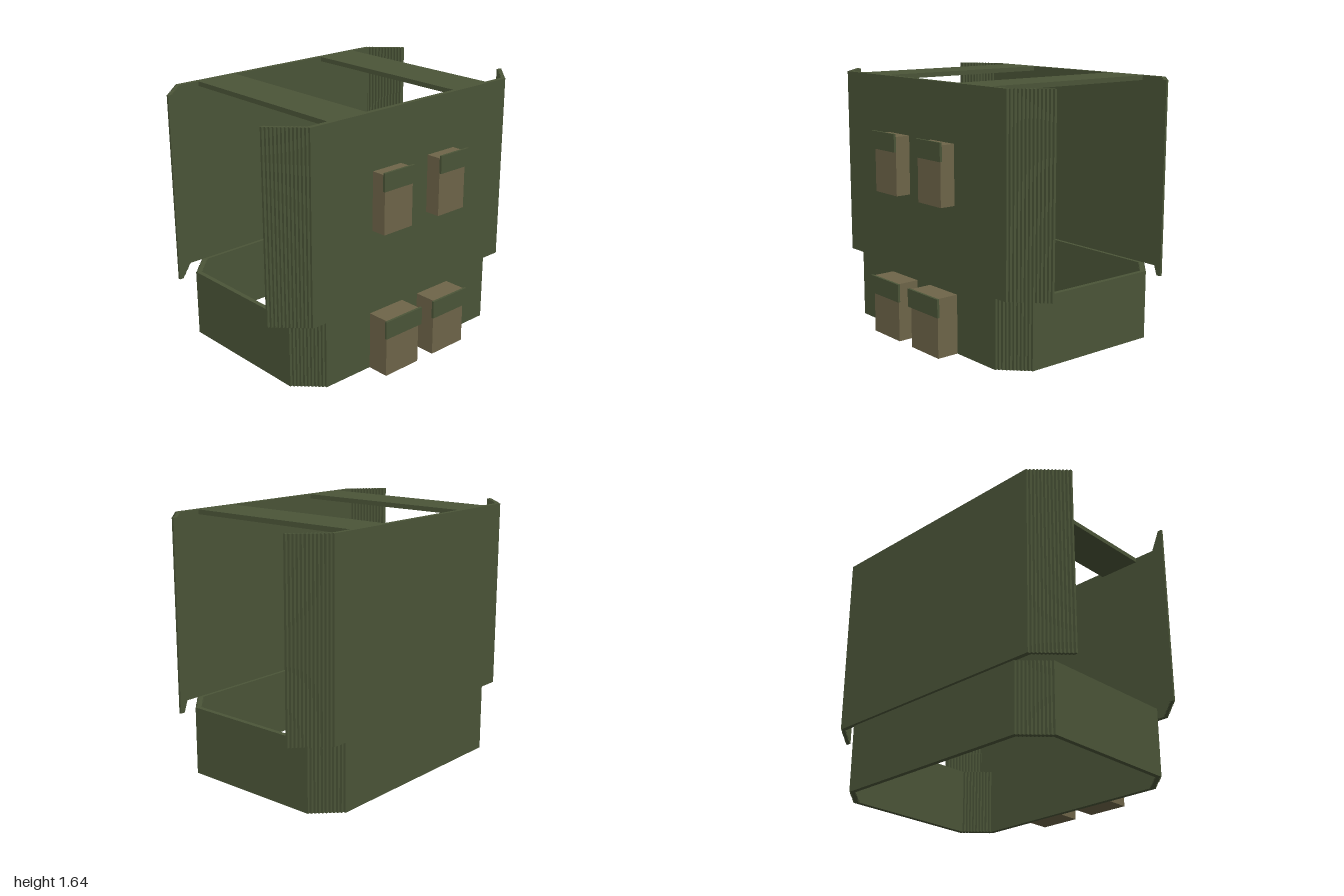
import * as THREE from 'three';

const GREEN = new THREE.MeshStandardMaterial({ color: 0x4b5538, flatShading: true });
const TAN = new THREE.MeshStandardMaterial({ color: 0x6e6549, flatShading: true });
const STEP = 0.0154; // size of one stair step
const MID = -0.0725; // z of the plane between front and back

// Box given by its minimum and maximum on each axis
function box(parent, name, material, [x0, x1], [y0, y1], [z0, z1]) {
  const mesh = new THREE.Mesh(new THREE.BoxGeometry(x1 - x0, y1 - y0, z1 - z0), material);
  mesh.position.set((x0 + x1) / 2, (y0 + y1) / 2, (z0 + z1) / 2);
  mesh.name = name;
  parent.add(mesh);
}

function group(parent, name) {
  const g = new THREE.Group();
  g.name = name;
  parent.add(g);
  return g;
}

// Ordered range mirrored through zero when s is -1
const flip = (a, b, s) => (s > 0 ? [a, b] : [-b, -a]);

export function createModel() {
  const vest = new THREE.Group();
  vest.name = 'vest';
  const upper = [0.44, 1.645];
  const lower = [0, 0.437];

  for (const sz of [1, -1]) {
    const side = sz > 0 ? 'front' : 'back';
    const z = (a, b) => flip(a, b, sz).map((v) => v + MID);

    // Chest or back plate and the belt panel below it
    box(vest, side + 'Plate', GREEN, [-0.8, 0.8], upper, z(0.6125, 0.6425));
    box(vest, side + 'BeltPanel', GREEN, [-0.685, 0.685], lower, z(0.5975, 0.6275));

    for (const sx of [1, -1]) {
      const hand = sx > 0 ? 'Left' : 'Right';

      // Stepped wing bending inwards from the plate
      const wing = group(vest, side + hand + 'Wing');
      for (let i = 0; i < 13; i++) {
        const x = 0.785 + i * STEP;
        const d = 0.6425 - i * STEP;
        box(wing, 'wingStep', GREEN, flip(x, x + 0.03, sx), upper, z(d - STEP, d));
      }

      // Stepped belt corner
      const corner = group(vest, side + hand + 'BeltCorner');
      for (let i = 0; i < 11; i++) {
        const x = 0.671 + i * STEP;
        const d = 0.6275 - i * STEP;
        box(corner, 'cornerStep', GREEN, flip(x, x + 0.03, sx), lower, z(d - 0.03, d));
      }
    }
  }

  // Belt sides
  for (const s of [1, -1]) {
    box(vest, s > 0 ? 'leftBeltSide' : 'rightBeltSide', GREEN,
      flip(0.825, 0.855, s), lower, [-0.52, 0.375]);
  }

  // Shoulder straps
  box(vest, 'leftShoulderStrap', GREEN, [0.355, 0.655], [1.615, 1.645], [-0.69, 0.545]);
  box(vest, 'rightShoulderStrap', GREEN, [-0.665, -0.375], [1.615, 1.645], [-0.69, 0.545]);

  // Pouches with flaps
  const pouches = [
    ['lowerLeftPouch', [0.065, 0.34], [0, 0.373], [0.55, 0.7], [0.05, 0.355], [0.26, 0.375]],
    ['lowerRightPouch', [-0.345, -0.07], [0, 0.373], [0.55, 0.7], [-0.36, -0.055], [0.26, 0.375]],
    ['upperLeftPouch', [0.113, 0.34], [0.92, 1.29], [0.56, 0.67], [0.112, 0.355], [1.195, 1.308]],
    ['upperRightPouch', [-0.345, -0.116], [0.92, 1.29], [0.56, 0.67], [-0.36, -0.115], [1.195, 1.308]],
  ];
  for (const [name, x, y, z, flapX, flapY] of pouches) {
    const pouch = group(vest, name);
    box(pouch, 'pouchBody', TAN, x, y, z);
    box(pouch, 'pouchFlap', GREEN, flapX, flapY, [z[1], z[1] + 0.015]);
  }

  return vest;
}
